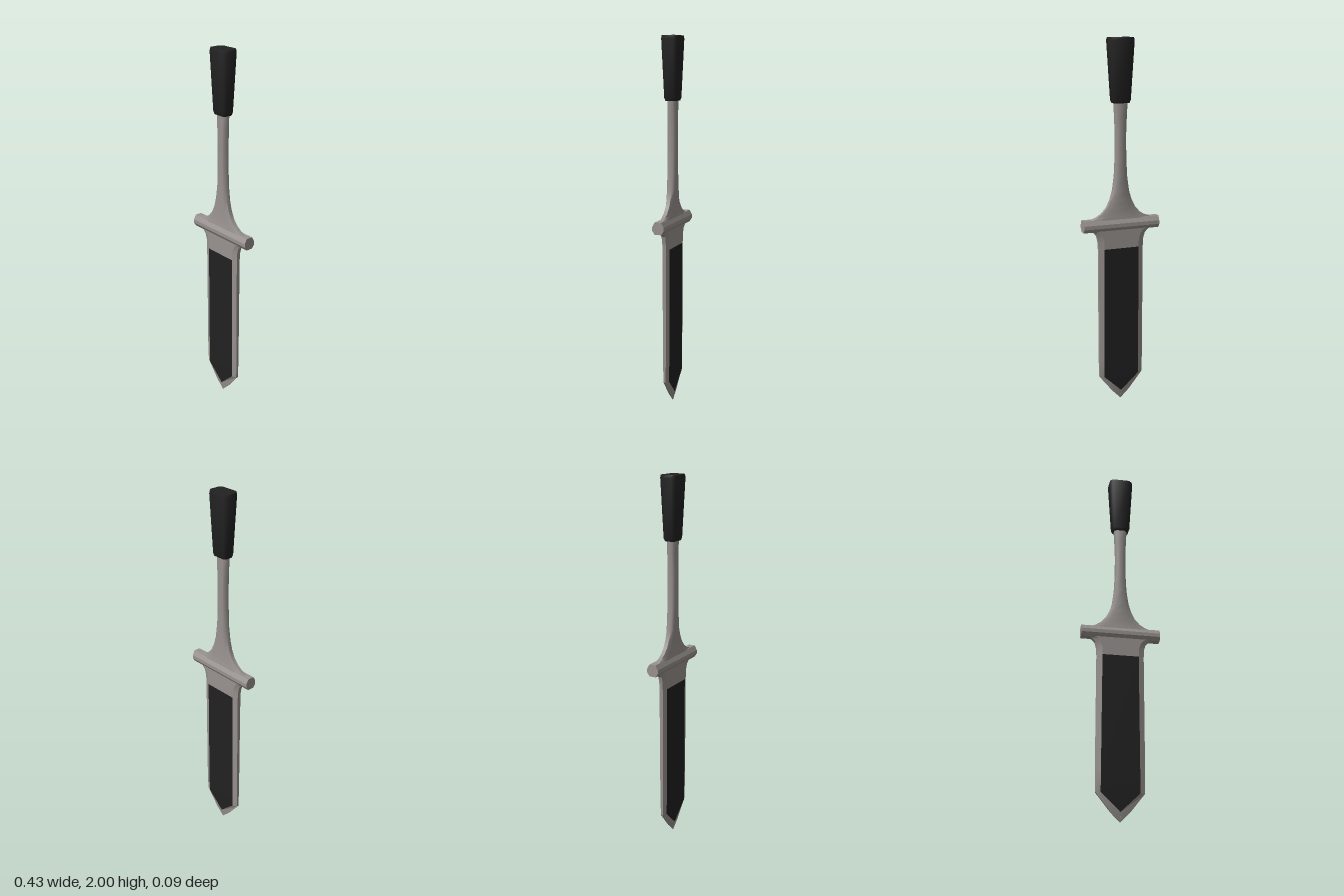
import * as THREE from 'three';
import { toCreasedNormals } from 'three/addons/utils/BufferGeometryUtils.js';

// Bevelled (eight-sided) cross-section: half width w, flat half width i, half depth d, edge half depth e
const ring = ([y, w, i, d, e]) => [
  [w, e], [i, d], [-i, d], [-w, e], [-w, -e], [-i, -d], [i, -d], [w, -e],
].map(([x, z]) => [x, y, z]);

// Skins sections from bottom to top; keep(row, side) picks which strips to build
function loft(rows, crease, keep = () => true, caps = true) {
  const rings = rows.map(ring), pos = [], index = [], n = 8;
  rings.forEach(r => r.forEach(p => pos.push(...p)));
  for (let r = 0; r < rings.length - 1; r++) {
    for (let j = 0; j < n; j++) {
      if (!keep(r, j)) continue;
      const a = r * n + j, b = r * n + (j + 1) % n;
      index.push(a, a + n, b, b, a + n, b + n);
    }
  }
  if (caps) {
    const top = (rings.length - 1) * n;
    for (let j = 1; j < n - 1; j++) index.push(0, j, j + 1, top, top + j + 1, top + j);
  }
  const g = new THREE.BufferGeometry();
  g.setAttribute('position', new THREE.Float32BufferAttribute(pos, 3));
  g.setIndex(index);
  return toCreasedNormals(g, crease);
}

export function createModel() {
  const model = new THREE.Group();
  model.name = 'dagger';
  const steel = new THREE.MeshStandardMaterial({ color: 0x999390 });
  steel.name = 'warm grey steel';
  const black = new THREE.MeshStandardMaterial({ color: 0x212121 });
  black.name = 'matte black';
  const add = (name, geometry, material) => {
    const mesh = new THREE.Mesh(geometry, material);
    mesh.name = name;
    model.add(mesh);
  };

  // Blade, flaring into the guard at the top
  const bladeRows = [
    [0, 0.001, 0, 0.002, 0.001],
    [0.05, 0.05, 0, 0.011, 0.004],
    [0.145, 0.125, 0.1, 0.016, 0.006],
    [0.25, 0.127, 0.1, 0.018, 0.008],
    [0.885, 0.127, 0.098, 0.02, 0.01],
    [0.93, 0.13, 0.1, 0.02, 0.01],
    [0.96, 0.138, 0.11, 0.02, 0.011],
    [0.98, 0.155, 0.125, 0.02, 0.012],
    [0.99, 0.185, 0.15, 0.02, 0.014],
    [1.0, 0.205, 0.17, 0.02, 0.014],
  ];
  const isPanel = (r, j) => r >= 1 && r <= 3 && (j === 1 || j === 5);
  add('blade', loft(bladeRows, 0.3, (r, j) => !isPanel(r, j)), steel);
  add('bladePanels', loft(bladeRows, 0.3, isPanel, false), black);

  // Crossguard: ridged bar along x
  const section = new THREE.Shape([
    [-0.018, 0.985], [0.018, 0.985], [0.032, 1.005], [0.032, 1.025],
    [0.018, 1.05], [-0.018, 1.05], [-0.032, 1.025], [-0.032, 1.005],
  ].map(([z, y]) => new THREE.Vector2(z, y)));
  const guard = new THREE.ExtrudeGeometry(section, { depth: 0.43, bevelEnabled: false });
  guard.translate(0, 0, -0.215).rotateY(Math.PI / 2);
  add('crossguard', guard, steel);

  // Slim neck sweeping up from the guard
  const neck = [
    [1.03, 0.205, 0.02], [1.05, 0.17, 0.02], [1.06, 0.138, 0.02], [1.08, 0.107, 0.02],
    [1.11, 0.08, 0.021], [1.15, 0.06, 0.022], [1.2, 0.045, 0.023], [1.28, 0.034, 0.023],
    [1.38, 0.029, 0.023], [1.5, 0.028, 0.023], [1.6, 0.032, 0.023], [1.69, 0.037, 0.023],
  ].map(([y, w, d]) => [y, w, w * 0.6, d, d * 0.5]);
  add('neck', loft(neck, 1.1), steel);

  // Tapered grip with softened ends
  const grip = [
    [1.665, 0.044, 0.029], [1.68, 0.05, 0.034], [1.985, 0.068, 0.045], [2, 0.064, 0.043],
  ].map(([y, w, d]) => [y, w, w * 0.74, d, d * 0.62]);
  add('grip', loft(grip, 0.9), black);

  return model;
}
